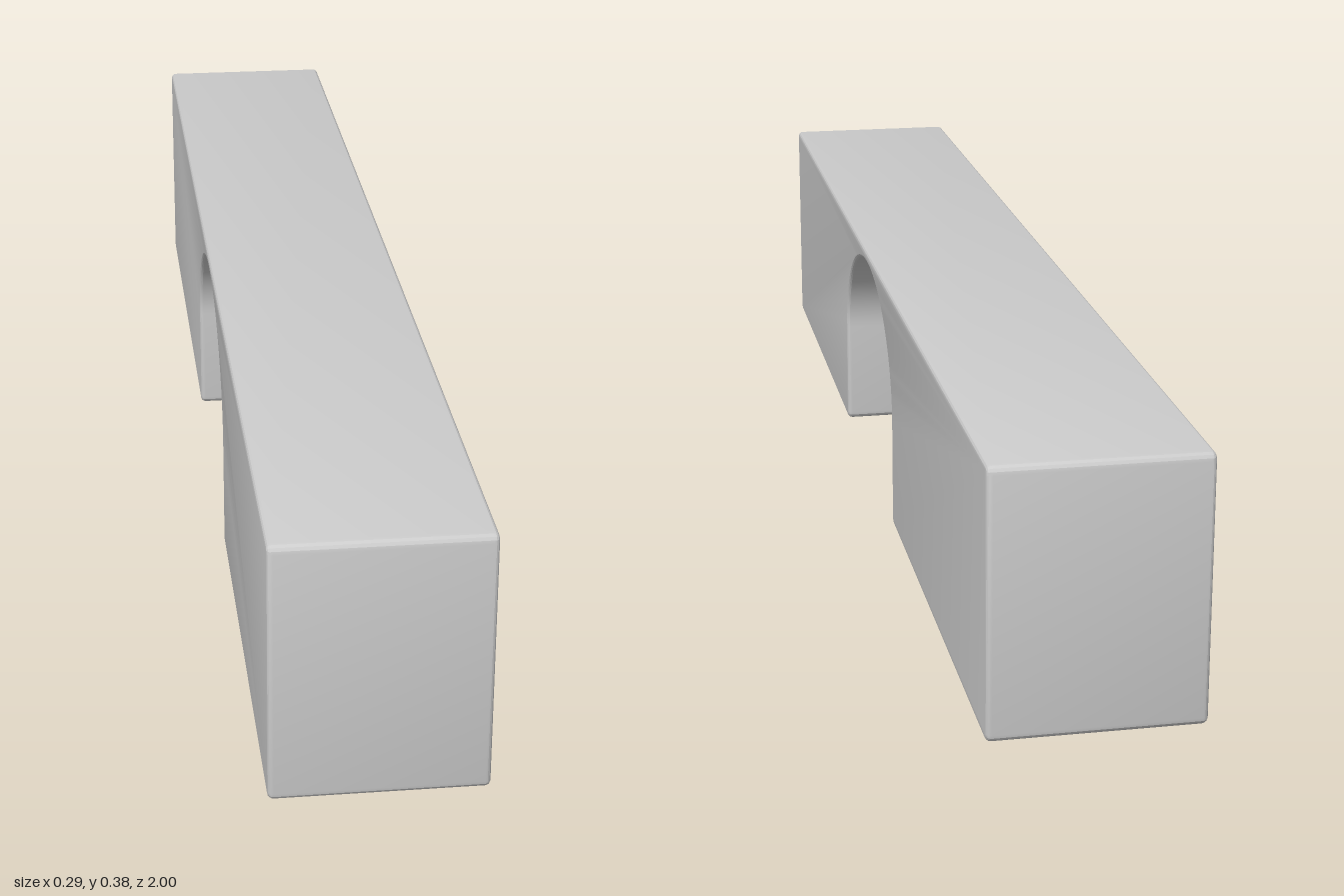
import * as THREE from 'three';
import { toCreasedNormals } from 'three/addons/utils/BufferGeometryUtils.js';

const HALF_WIDTH = 0.147, HEIGHT = 0.376, BEVEL = 0.008, CORNER = 0.012;
const ARCH = { z: 0.03, spring: 0.172, rz: 0.255, ry: 0.184 };

// Points along an elliptical arc, angles in quarter turns
function arc(cx, cy, rx, ry, from, to, steps) {
  return Array.from({ length: steps + 1 }, (_, i) => {
    const a = (from + (to - from) * i / steps) * Math.PI / 2;
    return new THREE.Vector2(cx + rx * Math.cos(a), cy + ry * Math.sin(a));
  });
}

// Rounded corner of the side profile; sz and sy point to the outside
function corner(z, y, sz, sy, from) {
  return arc(z - sz * CORNER, y - sy * CORNER, CORNER, CORNER, from, from + 1, 4);
}

export function createModel() {
  const group = new THREE.Group();
  group.name = 'archBridge';

  // Side profile in the (z, y) plane, counter-clockwise
  const profile = new THREE.Shape([
    ...corner(-1, 0, -1, -1, 2),
    ...corner(ARCH.z - ARCH.rz, 0, 1, -1, 3),
    ...arc(ARCH.z, ARCH.spring, ARCH.rz, ARCH.ry, 2, 0, 48),
    ...corner(ARCH.z + ARCH.rz, 0, -1, -1, 2),
    ...corner(1, 0, 1, -1, 3),
    ...corner(1, HEIGHT, 1, 1, 0),
    ...corner(-1, HEIGHT, -1, 1, 1),
  ]);

  // Block with a tunnel through it, softened along every edge
  const depth = 2 * (HALF_WIDTH - BEVEL);
  const geometry = new THREE.ExtrudeGeometry(profile, {
    depth, bevelEnabled: true, bevelThickness: BEVEL,
    bevelSize: BEVEL, bevelOffset: -BEVEL, bevelSegments: 4,
  });
  geometry.translate(0, 0, -depth / 2);
  geometry.rotateY(-Math.PI / 2);

  const block = new THREE.Mesh(
    toCreasedNormals(geometry, 0.3),
    new THREE.MeshStandardMaterial({ color: 0xcccccc }),
  );
  block.name = 'archedBlock';
  group.add(block);
  return group;
}
